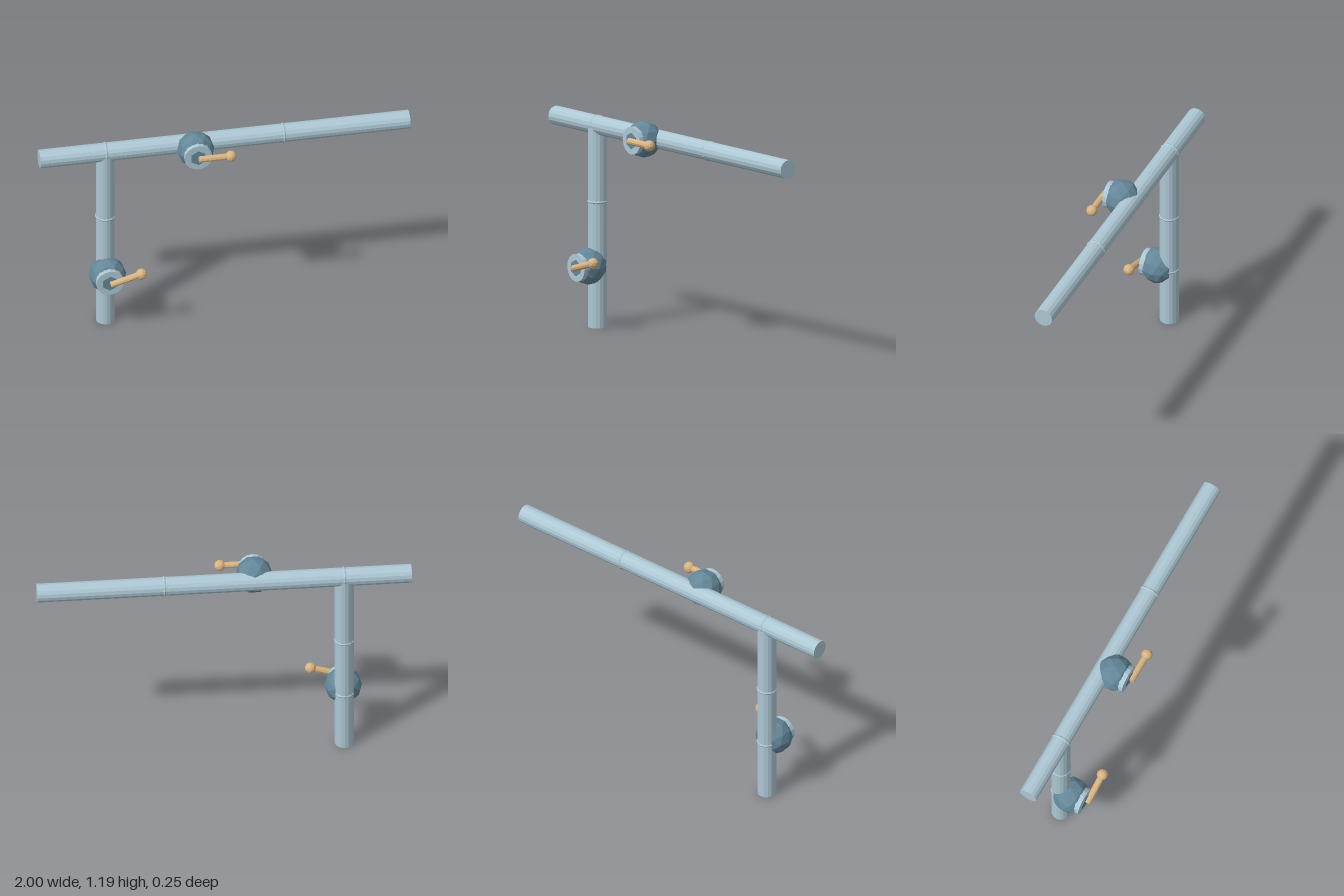
import * as THREE from 'three';

const mat = (name, color) => {
  const m = new THREE.MeshStandardMaterial({ color, flatShading: true });
  m.name = name;
  return m;
};

export function createModel() {
  const pipeBlue = mat('pale blue pipe', 0xadc8d4);
  const valveBlue = mat('slate blue valve', 0x648799);
  const tan = mat('tan handle', 0xd8b482);
  const group = new THREE.Group();
  const PX = -0.642, PY = 1.093, PZ = -0.067, R = 0.051;

  const add = (parent, name, geo, material, x, y, z) => {
    const m = new THREE.Mesh(geo, material);
    m.name = name;
    m.position.set(x, y, z);
    parent.add(m);
    return m;
  };

  // Pipes
  add(group, 'horizontalPipe', new THREE.CylinderGeometry(R, R, 2, 16), pipeBlue, 0, PY, PZ).rotation.z = Math.PI / 2;
  add(group, 'verticalPipe', new THREE.CylinderGeometry(R, R, PY, 16), pipeBlue, PX, PY / 2, PZ);

  // Slim weld rings that barely break the pipe surface
  const ring = new THREE.TorusGeometry(0.041, 0.0145, 6, 12);
  for (const x of [PX, 0.32]) add(group, 'horizontalRing', ring, pipeBlue, x, PY, PZ).rotation.y = Math.PI / 2;
  for (const y of [0.68, 0.335]) add(group, 'verticalRing', ring, pipeBlue, PX, y, PZ).rotation.x = Math.PI / 2;

  // Faceted valve body, flattened in front behind its collar
  const body = new THREE.IcosahedronGeometry(0.1, 1);
  const p = body.attributes.position;
  for (let i = 0; i < p.count; i++) p.setZ(i, Math.min(p.getZ(i), 0.075));
  body.computeVertexNormals();

  const addValve = (x, y, angle) => {
    const valve = new THREE.Group();
    valve.name = 'valve';
    valve.position.set(x, y, -0.004);
    group.add(valve);
    add(valve, 'valveBody', body, valveBlue, 0, 0, 0);
    add(valve, 'valveCollar', new THREE.CylinderGeometry(0.075, 0.075, 0.034, 16), pipeBlue, 0, 0, 0.065).rotation.x = Math.PI / 2;
    add(valve, 'hexHub', new THREE.CylinderGeometry(0.044, 0.044, 0.02, 6), valveBlue, 0, 0, 0.076).rotation.x = Math.PI / 2;

    // Lever and its end knob
    const handle = new THREE.Group();
    handle.name = 'handle';
    handle.position.z = 0.097;
    handle.rotation.z = angle;
    valve.add(handle);
    add(handle, 'lever', new THREE.CylinderGeometry(0.018, 0.018, 0.175, 10), tan, 0.0875, 0, 0).rotation.z = Math.PI / 2;
    add(handle, 'knob', new THREE.IcosahedronGeometry(0.031, 1), tan, 0.173, 0, 0);
  };
  addValve(-0.165, PY, 0);
  addValve(PX, 0.335, 0.29);

  return group;
}
